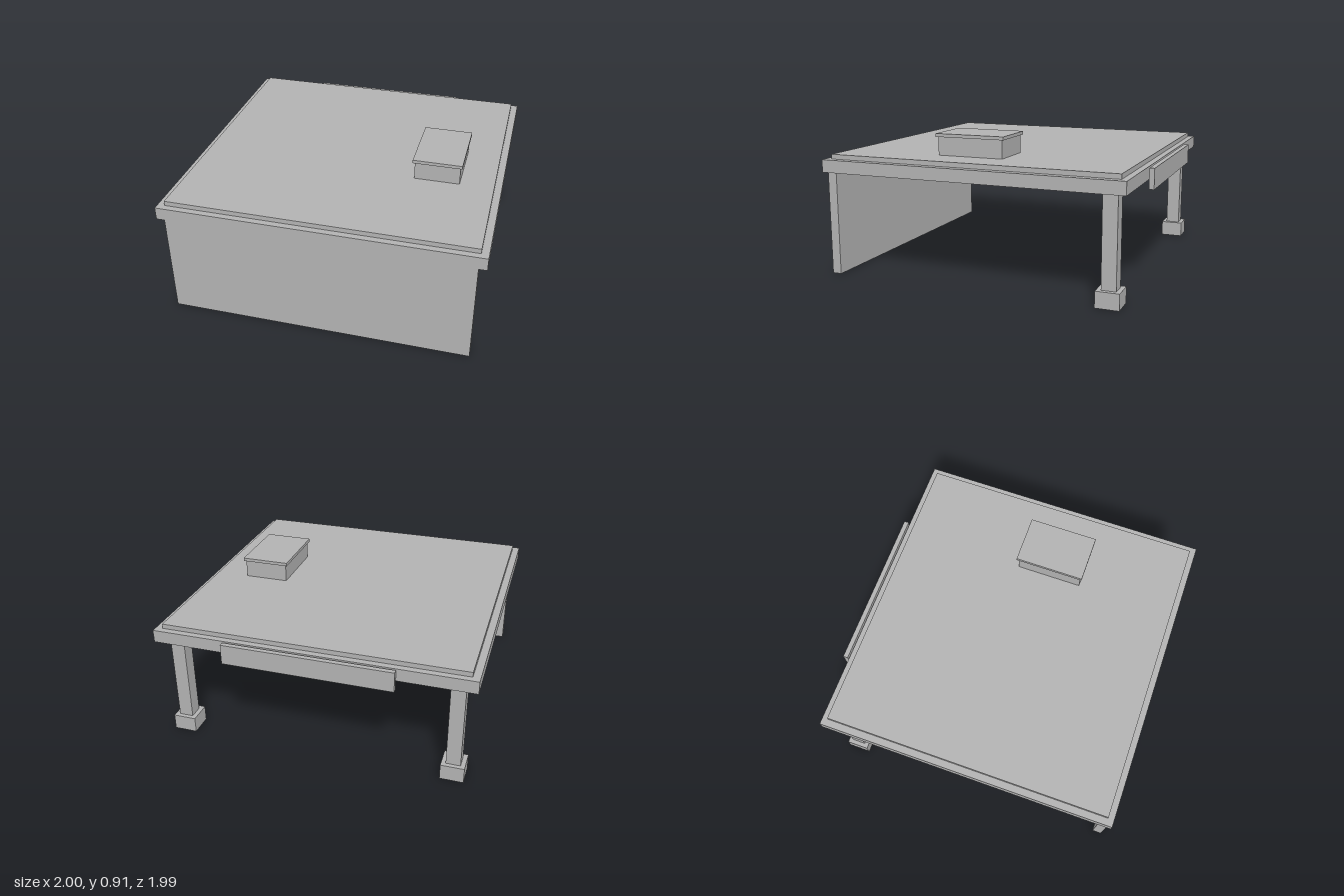
import * as THREE from 'three';

export function createModel() {
  const model = new THREE.Group();
  const grey = new THREE.MeshStandardMaterial({ color: 0xb2b2b2 });
  grey.name = 'plain grey';

  // Box given by its extents along each axis
  function block(name, [x0, x1], [y0, y1], [z0, z1]) {
    const mesh = new THREE.Mesh(new THREE.BoxGeometry(x1 - x0, y1 - y0, z1 - z0), grey);
    mesh.position.set((x0 + x1) / 2, (y0 + y1) / 2, (z0 + z1) / 2);
    mesh.name = name;
    model.add(mesh);
  }

  // Canopy slab and the thinner layer on it
  block('roofSlab', [-1, 1], [0.665, 0.745], [-0.95, 0.993]);
  block('roofLayer', [-0.955, 0.955], [0.745, 0.775], [-0.91, 0.953]);

  // Wall carrying the front edge
  block('frontWall', [-0.95, 0.95], [0, 0.665], [0.928, 0.988]);

  // Rear columns on square footings
  for (const [side, x] of [['left', 0.88], ['right', -0.88]]) {
    block(side + 'Column', [x - 0.045, x + 0.045], [0.1, 0.665], [-0.886, -0.796]);
    block(side + 'Footing', [x - 0.073, x + 0.073], [0, 0.1], [-0.913, -0.768]);
  }

  // Roof unit with an overhanging lid
  block('roofUnit', [0.453, 0.74], [0.775, 0.89], [-0.115, 0.313]);
  block('roofUnitLid', [0.44, 0.752], [0.89, 0.911], [-0.128, 0.325]);

  // Fascia board just behind the rear edge
  block('fasciaBoard', [-0.532, 0.532], [0.615, 0.743], [-0.993, -0.962]);

  return model;
}
